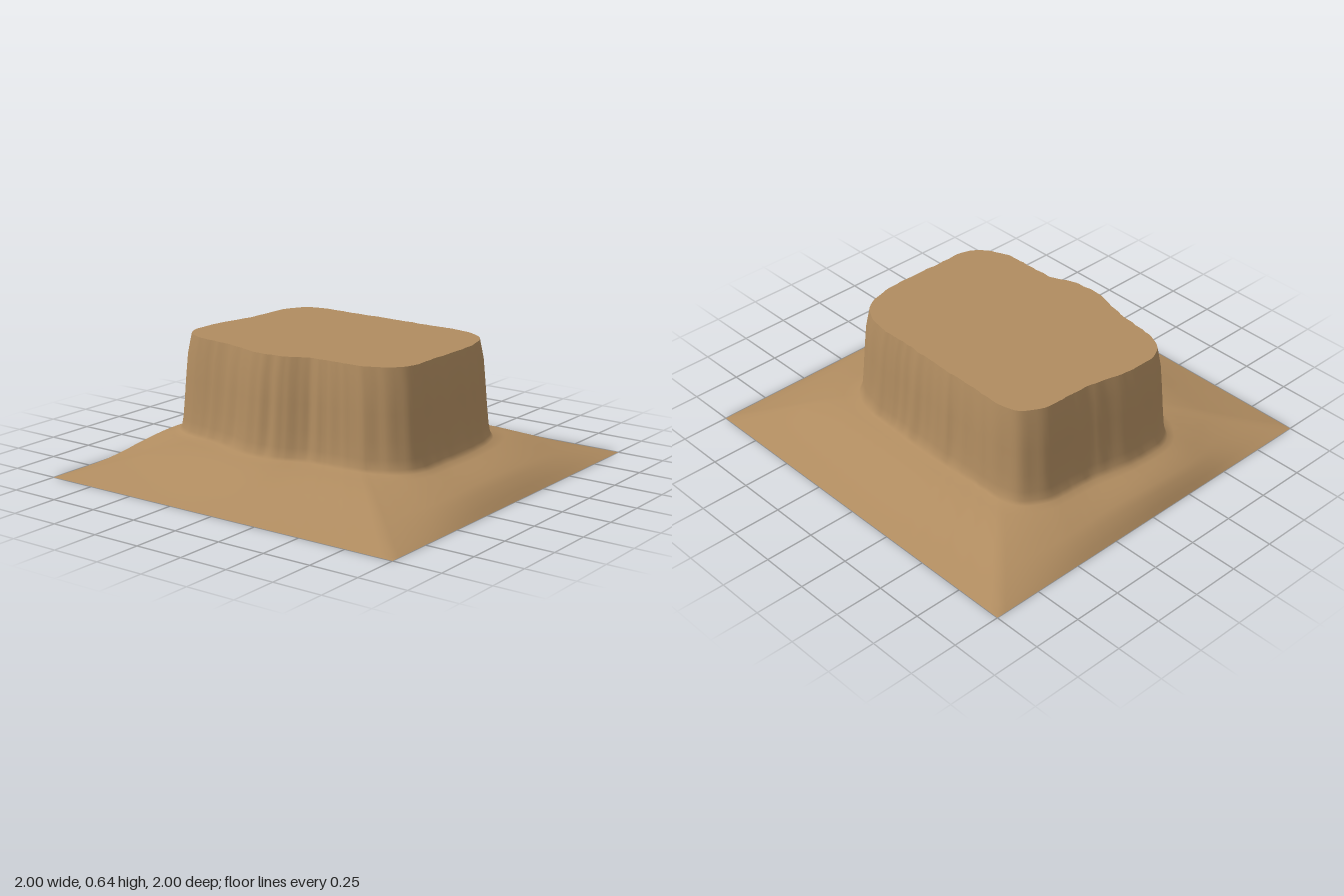
import * as THREE from 'three';

const N = 240; // samples around; divisible by 8 so the square corners are hit

// Plateau rim seen from above, as [x, z]
const RIM = [
  [0.59, -0.13], [0.585, 0.05], [0.585, 0.22], [0.54, 0.32], [0.4, 0.39], [0.12, 0.405], [-0.02, 0.46],
  [-0.18, 0.465], [-0.34, 0.42], [-0.6, 0.38], [-0.7, 0.3], [-0.705, 0.08], [-0.66, -0.13],
  [-0.645, -0.37], [-0.56, -0.49], [-0.3, -0.505], [0.1, -0.5], [0.43, -0.48], [0.55, -0.38],
];

// Distance from the centre to the rim at every sampled angle
function rimRadii() {
  const curve = new THREE.CatmullRomCurve3(RIM.map(([x, z]) => new THREE.Vector3(x, 0, z)), true, 'centripetal');
  const pts = curve.getPoints(600).map((p) => {
    const a = Math.atan2(p.z, p.x);
    return { a: a < 0 ? a + Math.PI * 2 : a, r: Math.hypot(p.x, p.z) };
  });
  return Array.from({ length: N }, (_, i) => {
    const a = (i / N) * Math.PI * 2;
    let best = pts[0], gap = 9;
    for (const p of pts) {
      const d = Math.abs(Math.atan2(Math.sin(p.a - a), Math.cos(p.a - a)));
      if (d < gap) { gap = d; best = p; }
    }
    return best.r;
  });
}

// Irregular vertical folds of the cliff
const folds = (a) => 0.5 * Math.sin(17 * a + 1) + 0.3 * Math.sin(31 * a + 2.3) + 0.35 * Math.sin(43 * a + 0.4);

// Joins rings of points into a smooth band
function band(rings) {
  const g = new THREE.BufferGeometry();
  const index = [];
  for (let j = 0; j < rings.length - 1; j++) {
    for (let i = 0; i < N; i++) {
      const a = j * N + i, b = j * N + ((i + 1) % N);
      index.push(a, b, a + N, b, b + N, a + N);
    }
  }
  g.setAttribute('position', new THREE.Float32BufferAttribute(rings.flat(2), 3));
  g.setIndex(index);
  g.computeVertexNormals();
  return g;
}

export function createModel() {
  const group = new THREE.Group();
  const material = new THREE.MeshStandardMaterial({ color: 0xb08c60 });
  const add = (name, geometry) => {
    const mesh = new THREE.Mesh(geometry, material);
    mesh.name = name;
    group.add(mesh);
    return mesh;
  };

  const radii = rimRadii();
  const ring = (fn) => radii.map((r, i) => {
    const a = (i / N) * Math.PI * 2;
    const [rad, y] = fn(r, a);
    return [rad * Math.cos(a), y, rad * Math.sin(a)];
  });

  // Cliff: [height, outward offset, fold depth]
  const top = ring((r, a) => [r + 0.004 * folds(a), 0.64]);
  const cliffRow = ([y, out, depth]) => ring((r, a) => [r + out + depth * folds(a), y]);
  const cliff = [[0.54, 0.02, 0.005], [0.42, 0.03, 0.008], [0.3, 0.04, 0.008], [0.21, 0.05, 0.006], [0.165, 0.06, 0.003]].map(cliffRow);

  // Apron: blends from the cliff foot to the square edge, fuller at the sides than front and back
  const squareRadius = (a) => 1 / Math.max(Math.abs(Math.cos(a)), Math.abs(Math.sin(a)));
  const apron = [
    [0, 0.15, 0.14], [0.12, 0.14, 0.13], [0.28, 0.118, 0.12], [0.45, 0.088, 0.108],
    [0.6, 0.06, 0.093], [0.75, 0.037, 0.073], [0.9, 0.014, 0.03], [0.96, 0.006, 0.012], [1, 0, 0],
  ].map(([t, yFront, ySide]) => ring((r, a) => {
    const side = Math.max(0, Math.cos(2 * a));
    const foot = r + 0.075;
    return [THREE.MathUtils.lerp(foot, squareRadius(a), t), THREE.MathUtils.lerp(yFront, ySide, side)];
  }));
  add('cliffAndApron', band([top, ...cliff, ...apron]));

  // Flat plateau top
  const cap = new THREE.BufferGeometry();
  const capIndex = [];
  for (let i = 0; i < N; i++) capIndex.push(N, (i + 1) % N, i);
  cap.setAttribute('position', new THREE.Float32BufferAttribute([...top, [0, 0.64, 0]].flat(), 3));
  cap.setIndex(capIndex);
  cap.computeVertexNormals();
  add('plateauTop', cap);

  // Underside
  add('underside', new THREE.PlaneGeometry(2, 2).rotateX(Math.PI / 2));
  return group;
}
